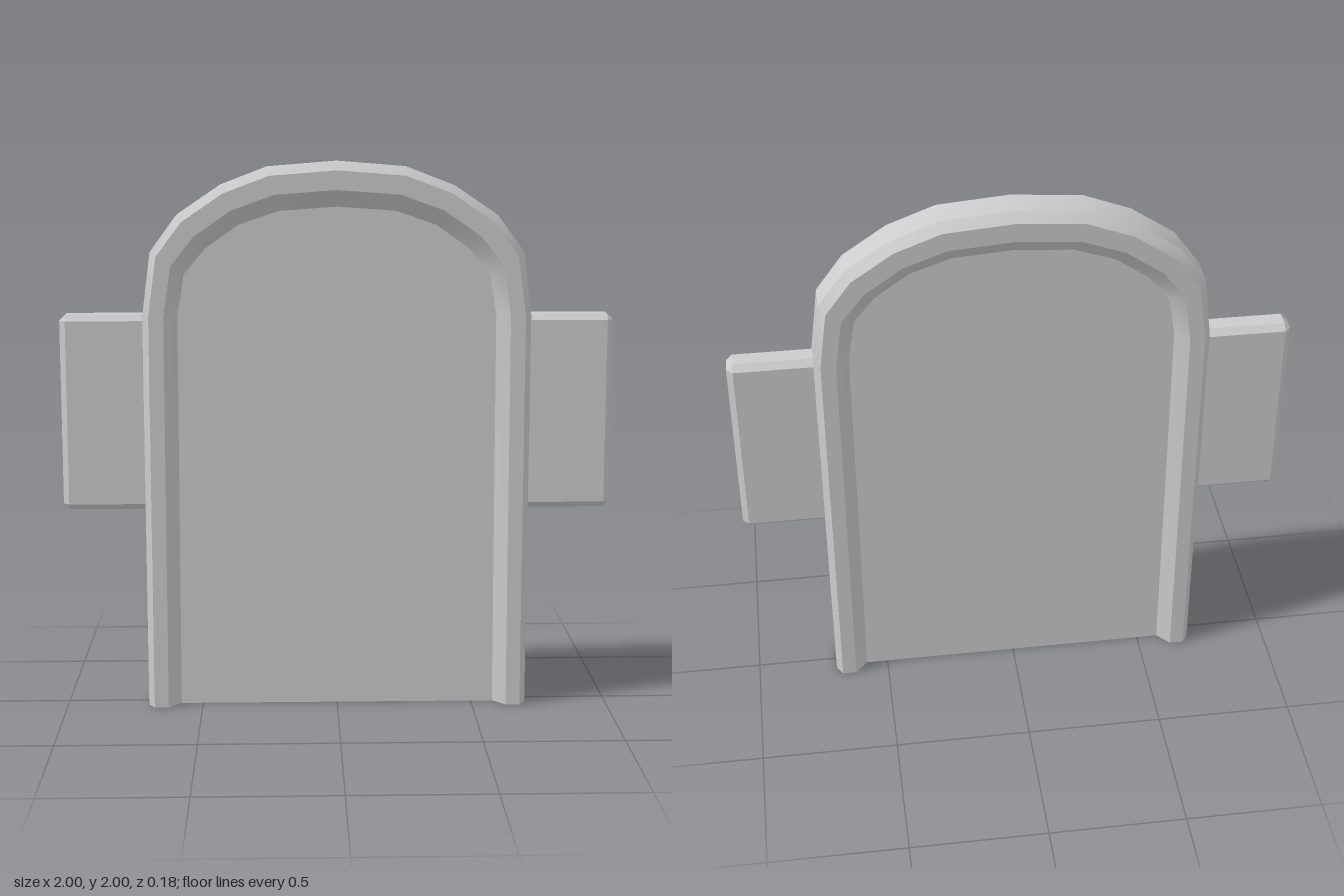
import * as THREE from 'three';
import { toCreasedNormals } from 'three/addons/utils/BufferGeometryUtils.js';
import { ConvexGeometry } from 'three/addons/geometries/ConvexGeometry.js';

const material = new THREE.MeshStandardMaterial({ color: 0xcccccc });

// Half arches from the foot to the crown: [x, y]
const OUTER = [[0.7, 0], [0.7, 1.45], [0.67, 1.68], [0.575, 1.81], [0.42, 1.915], [0.25, 1.98], [0, 2]];
const INNER = [[0.58, 0], [0.575, 1.45], [0.55, 1.6], [0.475, 1.69], [0.355, 1.775], [0.21, 1.825], [0, 1.84]];
// Rim cross-section: [blend from outer to inner arch, z]
const SECTION = [[0, 0.055], [0.19, 0.09], [0.62, 0.09], [1, 0.04], [1, -0.04], [0.62, -0.09], [0.19, -0.09], [0, -0.055]];

// Complete an arch by mirroring its right half
const fullArch = (half) => [...half, ...half.slice(0, -1).reverse().map(([x, y]) => [-x, y])];

function rimGeometry() {
  const outer = fullArch(OUTER), inner = fullArch(INNER);
  const n = SECTION.length, last = outer.length - 1;
  const positions = [], index = [];
  outer.forEach(([ox, oy], i) => {
    const [ix, iy] = inner[i];
    for (const [t, z] of SECTION) positions.push(ox + (ix - ox) * t, oy + (iy - oy) * t, z);
  });
  for (let i = 0; i < last; i++) {
    for (let j = 0; j < n; j++) {
      const a = i * n + j, b = i * n + (j + 1) % n;
      index.push(a, b + n, b, a, a + n, b + n);
    }
  }
  // Close both feet
  for (let j = 1; j < n - 1; j++) {
    index.push(0, j, j + 1);
    index.push(last * n, last * n + j + 1, last * n + j);
  }
  const geometry = new THREE.BufferGeometry();
  geometry.setAttribute('position', new THREE.Float32BufferAttribute(positions, 3));
  geometry.setIndex(index);
  return toCreasedNormals(geometry, 0.5);
}

// Box with every edge cut by a single chamfer
function chamferedBox(w, h, d, c) {
  const points = [];
  for (const sx of [-1, 1]) for (const sy of [-1, 1]) for (const sz of [-1, 1]) {
    for (let axis = 0; axis < 3; axis++) {
      const p = [w, h, d].map((size, k) => size / 2 - (k === axis ? 0 : c));
      points.push(new THREE.Vector3(sx * p[0], sy * p[1], sz * p[2]));
    }
  }
  return new ConvexGeometry(points);
}

export function createModel() {
  const model = new THREE.Group();
  const add = (name, geometry, x = 0, y = 0, z = 0) => {
    const mesh = new THREE.Mesh(geometry, material);
    mesh.name = name;
    mesh.position.set(x, y, z);
    model.add(mesh);
  };

  // Raised bevelled rim, open at the bottom
  add('rim', rimGeometry());

  // Recessed flat panel filling the arch
  const shape = new THREE.Shape(fullArch(INNER).map(([x, y]) => new THREE.Vector2(x, y)));
  add('panel', new THREE.ExtrudeGeometry(shape, { depth: 0.08, bevelEnabled: false }), 0, 0, -0.04);

  // Side tabs running into the rim
  const tab = chamferedBox(0.36, 0.715, 0.105, 0.022);
  add('leftTab', tab, 0.82, 1.0975, 0);
  add('rightTab', tab, -0.82, 1.0975, 0);
  return model;
}
